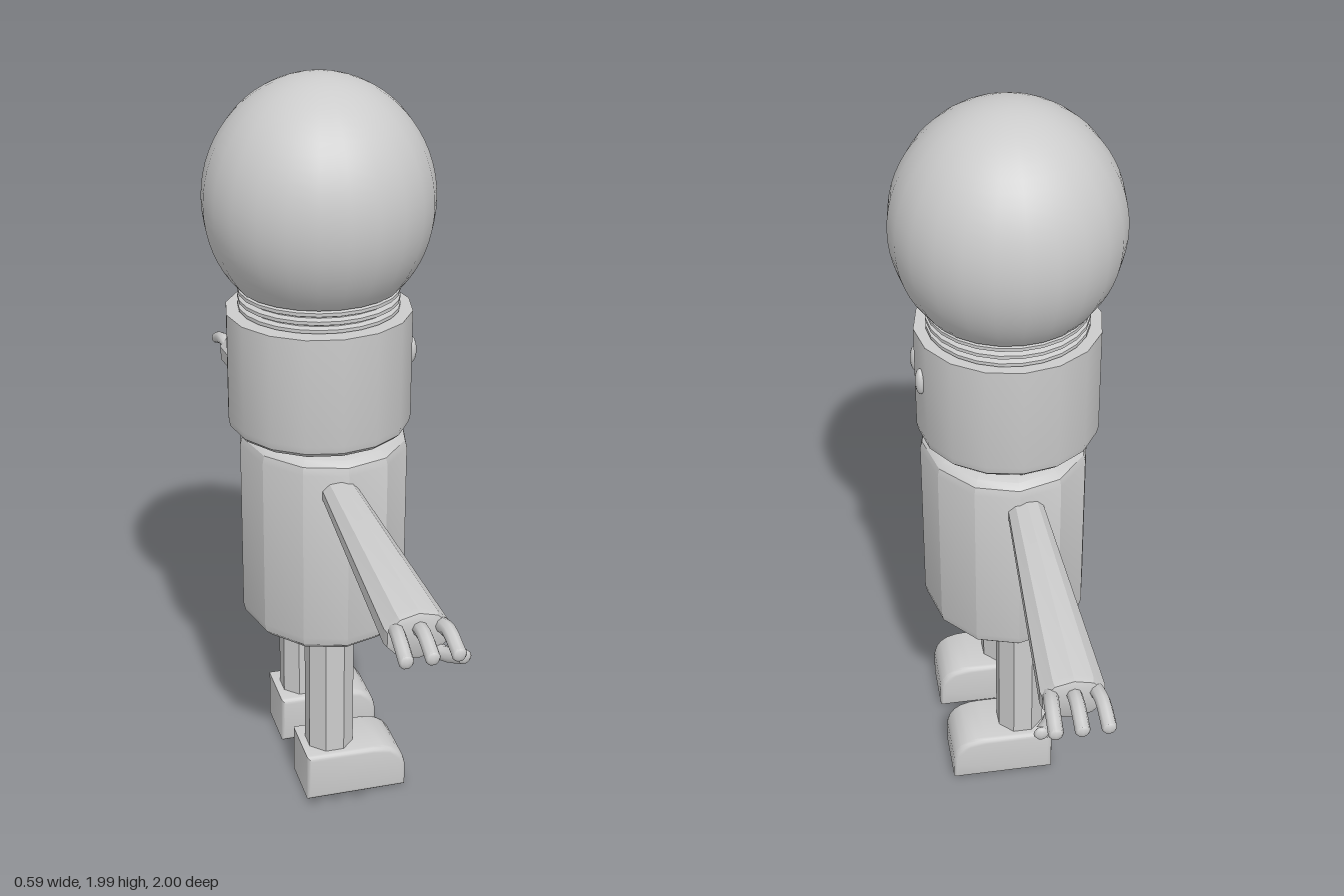
import * as THREE from 'three';
import { toCreasedNormals } from 'three/addons/utils/BufferGeometryUtils.js';

const material = new THREE.MeshStandardMaterial({ color: 0xcccccc });

function part(name, geometry, parent, x = 0, y = 0, z = 0) {
  const mesh = new THREE.Mesh(geometry, material);
  mesh.name = name;
  mesh.position.set(x, y, z);
  parent.add(mesh);
  return mesh;
}

// Turned solid from [radius, height] pairs listed from bottom to top
function turned(profile, sides, crease) {
  const points = profile.map(([r, y]) => new THREE.Vector2(r, y));
  return toCreasedNormals(new THREE.LatheGeometry(points, sides), crease);
}

// Bent finger: a short tube with a rounded tip
function finger(name, points, radius, parent) {
  const curve = new THREE.CatmullRomCurve3(points.map((p) => new THREE.Vector3(...p)));
  part(name, new THREE.TubeGeometry(curve, 6, radius, 8), parent);
  const tip = part(name + 'Tip', new THREE.SphereGeometry(radius, 8, 6), parent, ...points.at(-1));
  tip.scale.z = 0.5;
}

// Arm widening to the wrist; s is the side along z
function addArm(root, s, side) {
  const arm = new THREE.Group();
  arm.name = side + 'Arm';
  root.add(arm);
  const sleeve = turned(
    [[0, 0], [0.047, 0], [0.08, 0.67], [0.076, 0.688], [0.06, 0.694], [0, 0.694]], 10, 0.55);
  sleeve.scale(1, 1, 0.8).rotateX(s * Math.PI / 2);
  part(side + 'Sleeve', sleeve, arm, -0.008, 0.963, s * 0.2).rotation.x = s * 0.063;

  for (const x of [-0.066, -0.008, 0.05]) {
    finger(side + 'Finger', [
      [x * 0.85, 0.935, s * 0.86], [x, 0.947, s * 0.925], [x * 1.05, 0.925, s * 0.99],
    ], 0.018, arm);
  }
  finger(side + 'Thumb', [
    [0.02, 0.878, s * 0.84], [0.05, 0.873, s * 0.9], [0.078, 0.89, s * 0.95],
  ], 0.018, arm);
}

// Shoe side outline with a rounded toe, extruded across its width
function shoeGeometry() {
  const b = 0.014;
  const shape = new THREE.Shape();
  shape.moveTo(-0.09 + b, b);
  shape.lineTo(0.195 - b, b);
  shape.lineTo(0.195 - b, 0.05);
  shape.quadraticCurveTo(0.185, 0.14 - b, 0.1, 0.14 - b);
  shape.lineTo(-0.09 + b, 0.14 - b);
  const depth = 0.172 - 2 * b;
  const geometry = new THREE.ExtrudeGeometry(shape, {
    depth, bevelEnabled: true, bevelSize: b, bevelThickness: b, bevelSegments: 3, curveSegments: 6,
  });
  geometry.translate(0, 0, -depth / 2);
  return toCreasedNormals(geometry, 0.7);
}

export function createModel() {
  const root = new THREE.Group();
  root.name = 'figure';

  // Faceted torso with rounded ends
  const torso = turned([
    [0, 0.488], [0.21, 0.488], [0.237, 0.496], [0.254, 0.512], [0.26, 0.535],
    [0.26, 1.015], [0.254, 1.036], [0.237, 1.05], [0.21, 1.058], [0, 1.058],
  ], 12, 0.45);
  torso.scale(0.865, 1, 1);
  part('torso', torso, root, 0.01, 0, 0);

  // Head cup
  part('head', turned([
    [0, 1.055], [0.2, 1.055], [0.225, 1.062], [0.239, 1.075], [0.243, 1.095],
    [0.243, 1.385], [0.205, 1.385], [0, 1.385],
  ], 16, 0.6), root, -0.002, 0, 0.006);

  // Eyes on the +x face
  for (const z of [0.058, -0.05]) {
    part('eye', new THREE.SphereGeometry(1, 12, 10), root, 0.233, 1.262, z).scale.set(0.014, 0.037, 0.02);
  }

  // Threaded collar
  const collar = [[0, 1.38]];
  for (let i = 0; i < 3; i++) {
    const y = 1.382 + i * 0.022;
    collar.push([0.196, y], [0.21, y + 0.006], [0.21, y + 0.015], [0.196, y + 0.02]);
  }
  collar.push([0.2, 1.455], [0, 1.455]);
  part('collar', turned(collar, 24, 0.4), root);

  // Dome, cut flat where it meets the collar
  const dome = new THREE.SphereGeometry(1, 24, 24, 0, Math.PI * 2, 0, 2.35);
  part('dome', dome, root, 0, 1.67, 0).scale.set(0.296, 0.316, 0.296);

  // Legs and shoes
  for (const [side, z] of [['right', 0.134], ['left', -0.16]]) {
    const leg = new THREE.CylinderGeometry(0.0675, 0.0675, 0.42, 8);
    leg.rotateY(Math.PI / 8);
    part(side + 'Leg', toCreasedNormals(leg, 0.5), root, -0.007, 0.31, z);
    part(side + 'Shoe', shoeGeometry(), root, 0, 0, z);
  }

  addArm(root, 1, 'right');
  addArm(root, -1, 'left');
  return root;
}
